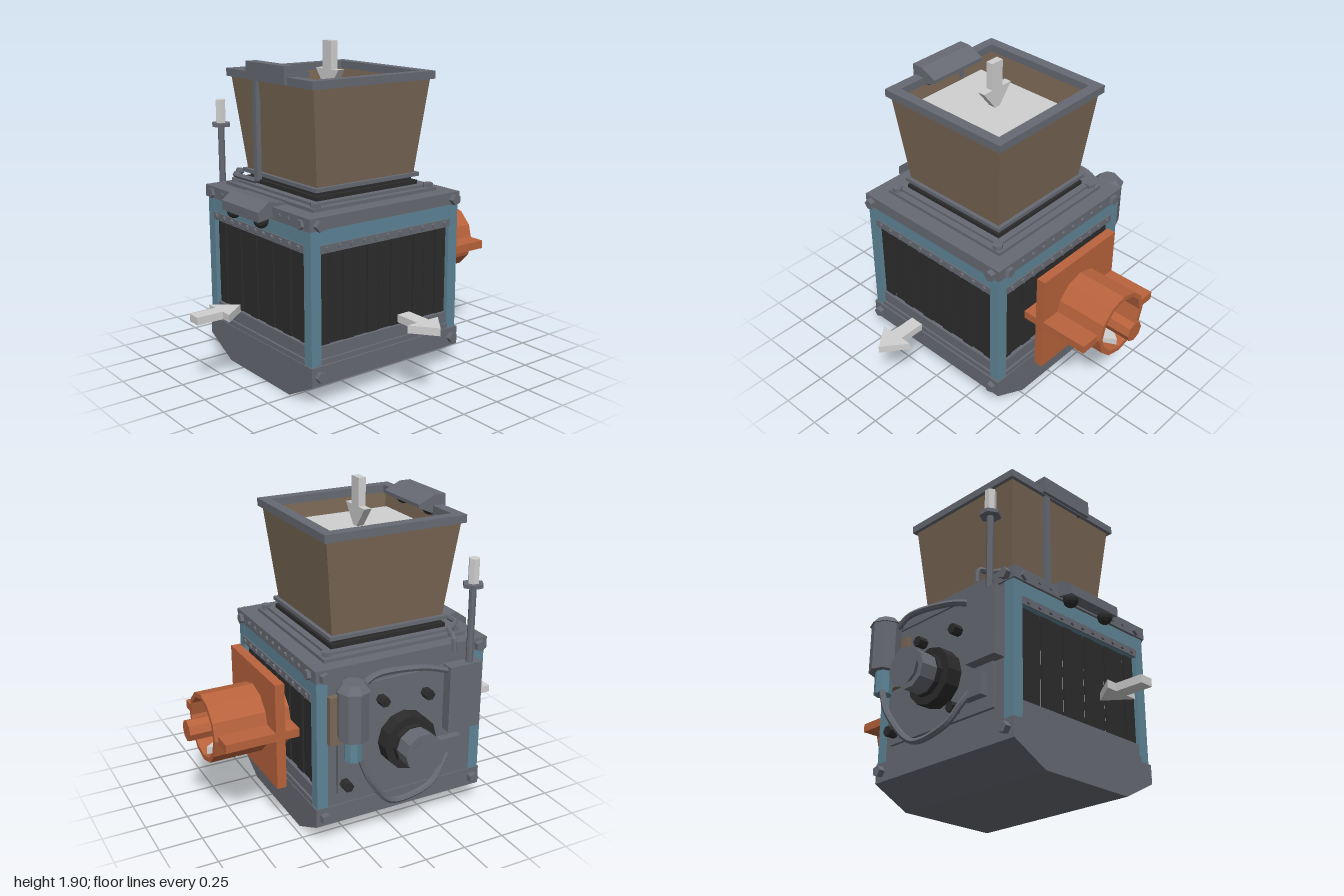
import * as THREE from 'three';

const material = (name, color, double) => {
  const m = new THREE.MeshStandardMaterial({ color });
  m.name = name;
  if (double) m.side = THREE.DoubleSide;
  return m;
};

// crisp facets for every part
const facet = (geo) => {
  const g = geo.index ? geo.toNonIndexed() : geo;
  g.computeVertexNormals();
  return g;
};

export function createModel() {
  const model = new THREE.Group();
  model.name = 'hopperMachine';
  const grey = material('steelGrey', 0x676a73);
  const dark = material('rubberBlack', 0x2c2c2d);
  const blue = material('frameBlue', 0x5f8597);
  const brown = material('hopperBrown', 0x7a6856, true);
  const orange = material('ductOrange', 0xb9633c);
  const light = material('lightGrey', 0xd0d0d0);

  const CX = -0.085, CZ = 0.065, HALF = 0.525;

  const add = (name, geo, mat, x = 0, y = 0, z = 0, parent = model) => {
    const m = new THREE.Mesh(facet(geo), mat);
    m.name = name;
    m.position.set(x, y, z);
    parent.add(m);
    return m;
  };
  // box given by its min and max on each axis
  const box = (name, mat, x0, x1, y0, y1, z0, z1, parent) =>
    add(name, new THREE.BoxGeometry(x1 - x0, y1 - y0, z1 - z0), mat,
      (x0 + x1) / 2, (y0 + y1) / 2, (z0 + z1) / 2, parent);
  // cylinder along a chosen axis
  const rod = (name, mat, rTop, rBottom, length, sides, axis, x, y, z, parent) => {
    const g = new THREE.CylinderGeometry(rTop, rBottom, length, sides);
    if (axis === 'x') g.rotateZ(Math.PI / 2);
    if (axis === 'z') g.rotateX(Math.PI / 2);
    return add(name, g, mat, x, y, z, parent);
  };
  const pipe = (name, mat, r, points, tension = 0.5) => add(name, new THREE.TubeGeometry(
    new THREE.CatmullRomCurve3(points.map(p => new THREE.Vector3(...p)), false, 'catmullrom', tension),
    32, r, 6), mat);
  const shapeOf = (pts) => new THREE.Shape(pts.map(p => new THREE.Vector2(...p)));
  const extrude = (shape, depth) => new THREE.ExtrudeGeometry(shape, { depth, bevelEnabled: false });
  const square = (h) => [[-h, -h], [h, -h], [h, h], [-h, h]];
  // flat square ring lying on y
  const ring = (name, mat, outer, inner, y0, y1) => {
    const s = shapeOf(square(outer));
    s.holes.push(new THREE.Path(square(inner).map(p => new THREE.Vector2(...p))));
    add(name, extrude(s, y1 - y0).rotateX(-Math.PI / 2), mat, CX - 0.01, y0, CZ);
  };

  // base tub with chamfered underside
  add('base', extrude(shapeOf([[-0.39, 0], [0.23, 0], [0.45, 0.115], [0.45, 0.225], [-0.61, 0.225], [-0.61, 0.115]]), 1.06),
    grey, 0, 0, -0.465);

  // body core, product block and corner posts
  box('chamberCore', dark, -0.5, 0.33, 0.22, 0.99, -0.35, 0.48);
  box('productBlock', light, -0.34, 0.19, 0.3, 0.69, -0.26, 0.5);
  for (const sx of [-1, 1]) for (const sz of [-1, 1])
    add('cornerPost', new THREE.BoxGeometry(0.065, 0.77, 0.065), blue, CX + sx * 0.49, 0.6, CZ + sz * 0.49);

  // three curtained faces
  [['front', 0], ['right', Math.PI / 2], ['back', Math.PI]].forEach(([label, angle]) => {
    const face = new THREE.Group();
    face.name = label + 'Curtain';
    face.position.set(CX, 0, CZ);
    face.rotation.y = angle;
    model.add(face);
    box('header', blue, -0.46, 0.46, 0.85, 0.985, 0.46, HALF - 0.005, face);
    box('clampStrip', grey, -0.46, 0.46, 0.85, 0.895, 0.5, HALF + 0.003, face);
    for (let i = 0; i < 11; i++) {
      const x = (i - 5) * 0.0838;
      box('curtainStrip', dark, x - 0.0375, x + 0.0375, 0.23, 0.86, 0.485 - (i % 2) * 0.006, 0.497 - (i % 2) * 0.006, face);
      rod('rivet', grey, 0.016, 0.016, 0.014, 6, 'z', x, 0.874, HALF + 0.008, face);
    }
    const y1 = label === 'right' ? 0.325 : 0.33;
    box('sillBar', grey, -0.46, 0.46, 0.255, y1, 0.49, HALF - 0.012, face);
    box('sillLip', grey, -0.46, 0.46, 0.225, 0.255, 0.49, HALF, face);
  });

  // solid left wall with raised edges
  box('leftWall', grey, -0.603, -0.56, 0.22, 0.99, -0.42, 0.55);
  box('leftWallPanel', grey, -0.622, -0.6, 0.3, 0.93, -0.34, 0.46);

  // roof
  box('roof', grey, -0.615, 0.445, 0.98, 1.05, -0.465, 0.6);
  ring('roofStep', grey, 0.44, 0.36, 1.05, 1.07);
  ring('roofInnerStep', grey, 0.4, 0.33, 1.07, 1.085);
  for (const sx of [-1, 1]) for (const sz of [-1, 1]) {
    rod('roofBolt', grey, 0.03, 0.03, 0.03, 6, 'y', CX + sx * 0.4, 1.08, CZ + sz * 0.4);
    rod('faceBolt', grey, 0.03, 0.03, 0.03, 5, 'z', CX + sx * 0.455, 1.01, CZ + sz * 0.537);
    for (const y of [0.17, 1.01])
      rod('sideBolt', grey, 0.032, 0.032, 0.035, 5, 'x', CX + sx * 0.545, y, CZ + sz * 0.48);
  }
  for (let i = 0; i < 9; i++) for (const sz of [-1, 1])
    rod('roofRivet', grey, 0.014, 0.014, 0.012, 6, 'z', CX + (i - 4) * 0.085, 1.015, CZ + sz * 0.537);

  // hopper: bellows neck, flange, tapered walls, rim and contents
  [[0.34, 1.05], [0.36, 1.08], [0.335, 1.105]].forEach(([h, y]) =>
    box('neckBellows', dark, CX - 0.01 - h, CX - 0.01 + h, y, y + 0.028, CZ - h, CZ + h));
  ring('hopperFlange', grey, 0.368, 0.335, 1.133, 1.155);
  add('hopperWalls', new THREE.CylinderGeometry(0.406 * Math.SQRT2, 0.345 * Math.SQRT2, 0.55, 4, 1, true)
    .rotateY(Math.PI / 4), brown, CX - 0.01, 1.425, CZ);
  ring('hopperRim', grey, 0.427, 0.365, 1.695, 1.74);
  box('hopperContents', light, -0.34, 0.19, 1.13, 1.63, -0.26, 0.405);

  // sensor hoods, each with two domes underneath
  const hood = (pts, domeY, domeZ) => {
    const g = extrude(shapeOf(pts), 0.38).rotateY(-Math.PI / 2);
    add('sensorHood', g, grey, 0.1, 0, 0);
    for (const x of [-0.23, 0.05])
      add('sensorDome', new THREE.SphereGeometry(0.043, 10, 8), dark, x, domeY, domeZ);
  };
  hood([[0.51, 0.99], [0.6, 0.99], [0.69, 0.975], [0.69, 1.03], [0.62, 1.08], [0.51, 1.06]], 0.97, 0.64);
  hood([[0.34, 1.735], [0.42, 1.7], [0.51, 1.7], [0.51, 1.8], [0.44, 1.8], [0.34, 1.755]], 1.72, 0.44);

  // conduit from upper hood down and across to the mast
  box('conduitRiser', grey, -0.25, -0.215, 1.13, 1.72, 0.46, 0.49);
  pipe('conduit', grey, 0.016, [[-0.23, 1.16, 0.475], [-0.24, 1.12, 0.475], [-0.28, 1.115, 0.475],
    [-0.48, 1.115, 0.475], [-0.56, 1.11, 0.38], [-0.64, 1.1, 0.36], [-0.65, 1.02, 0.36]], 0.3);

  // signal mast and control box
  rod('mast', grey, 0.02, 0.02, 0.5, 8, 'y', -0.655, 1.15, 0.46);
  rod('mastFlange', grey, 0.06, 0.06, 0.022, 6, 'y', -0.655, 1.39, 0.46);
  rod('signalLamp', light, 0.032, 0.032, 0.14, 6, 'y', -0.655, 1.47, 0.46);
  box('controlBox', grey, -0.685, -0.61, 0.55, 0.94, 0.32, 0.53);
  box('junctionBox', grey, -0.67, -0.61, 0.37, 0.5, 0.28, 0.42);

  // drive motor on the left wall
  rod('motorMount', dark, 0.16, 0.16, 0.1, 12, 'x', -0.66, 0.56, CZ);
  rod('motorBody', grey, 0.11, 0.11, 0.14, 10, 'x', -0.77, 0.56, CZ);
  rod('motorCollar', dark, 0.118, 0.118, 0.03, 10, 'x', -0.73, 0.56, CZ);
  rod('motorCap', grey, 0.11, 0.075, 0.04, 10, 'x', -0.86, 0.56, CZ);

  // filter canister with lower cup, bracket and hoses
  rod('canister', grey, 0.085, 0.085, 0.29, 8, 'y', -0.72, 0.83, -0.3);
  rod('canisterCap', grey, 0.06, 0.095, 0.04, 8, 'y', -0.72, 0.985, -0.3);
  rod('canisterCup', blue, 0.05, 0.05, 0.13, 8, 'y', -0.72, 0.62, -0.3);
  box('canisterBracket', brown, -0.65, -0.615, 0.62, 0.9, -0.4, -0.2);
  pipe('upperHose', grey, 0.018, [[-0.69, 0.95, -0.24], [-0.68, 1.0, -0.12], [-0.66, 0.97, 0.15], [-0.645, 0.9, 0.36]]);
  pipe('lowerHose', grey, 0.018, [[-0.75, 0.56, -0.27], [-0.75, 0.4, -0.2], [-0.71, 0.23, -0.05],
    [-0.7, 0.25, 0.18], [-0.68, 0.34, 0.28], [-0.65, 0.42, 0.34]]);
  for (const [y, z] of [[0.36, -0.3], [0.36, 0.2], [0.8, 0.2], [0.82, -0.08]])
    rod('wallFitting', dark, 0.03, 0.03, 0.07, 6, 'x', -0.645, y, z);

  // rear duct: plate, open tube, hub and fins
  box('ductPlate', orange, -0.4, 0.225, 0.285, 0.915, -0.6, -0.545);
  const profile = [[0.172, -0.225], [0.2, -0.225], [0.2, 0.225], [0.172, 0.225], [0.172, -0.225]];
  add('ductTube', new THREE.LatheGeometry(profile.map(p => new THREE.Vector2(...p)), 12).rotateX(Math.PI / 2),
    orange, -0.09, 0.6, -0.685);
  rod('ductHub', orange, 0.062, 0.062, 0.5, 8, 'z', -0.09, 0.6, -0.75);
  box('ductFin', orange, -0.4, -0.27, 0.58, 0.63, -0.89, -0.46);
  box('ductFin', orange, 0.09, 0.225, 0.58, 0.63, -0.89, -0.46);

  // flow arrows, drawn pointing up and then turned
  const arrow = (name, x, y, z, turn) => {
    const g = extrude(shapeOf([[-0.041, -0.15], [0.041, -0.15], [0.041, 0.01], [0.108, 0.01], [0, 0.15],
      [-0.108, 0.01], [-0.041, 0.01]]), 0.044);
    g.translate(0, 0, -0.022);
    add(name, turn(g), light, x, y, z);
  };
  const flat = (g) => g.rotateX(-Math.PI / 2);
  arrow('feedArrow', -0.09, 1.755, CZ, g => g.rotateZ(Math.PI));
  arrow('frontArrow', -0.09, 0.44, 0.85, flat);
  arrow('rightArrow', 0.725, 0.44, CZ, g => flat(g).rotateY(-Math.PI / 2));
  arrow('ductArrow', -0.09, 0.45, -0.74, flat);

  return model;
}
